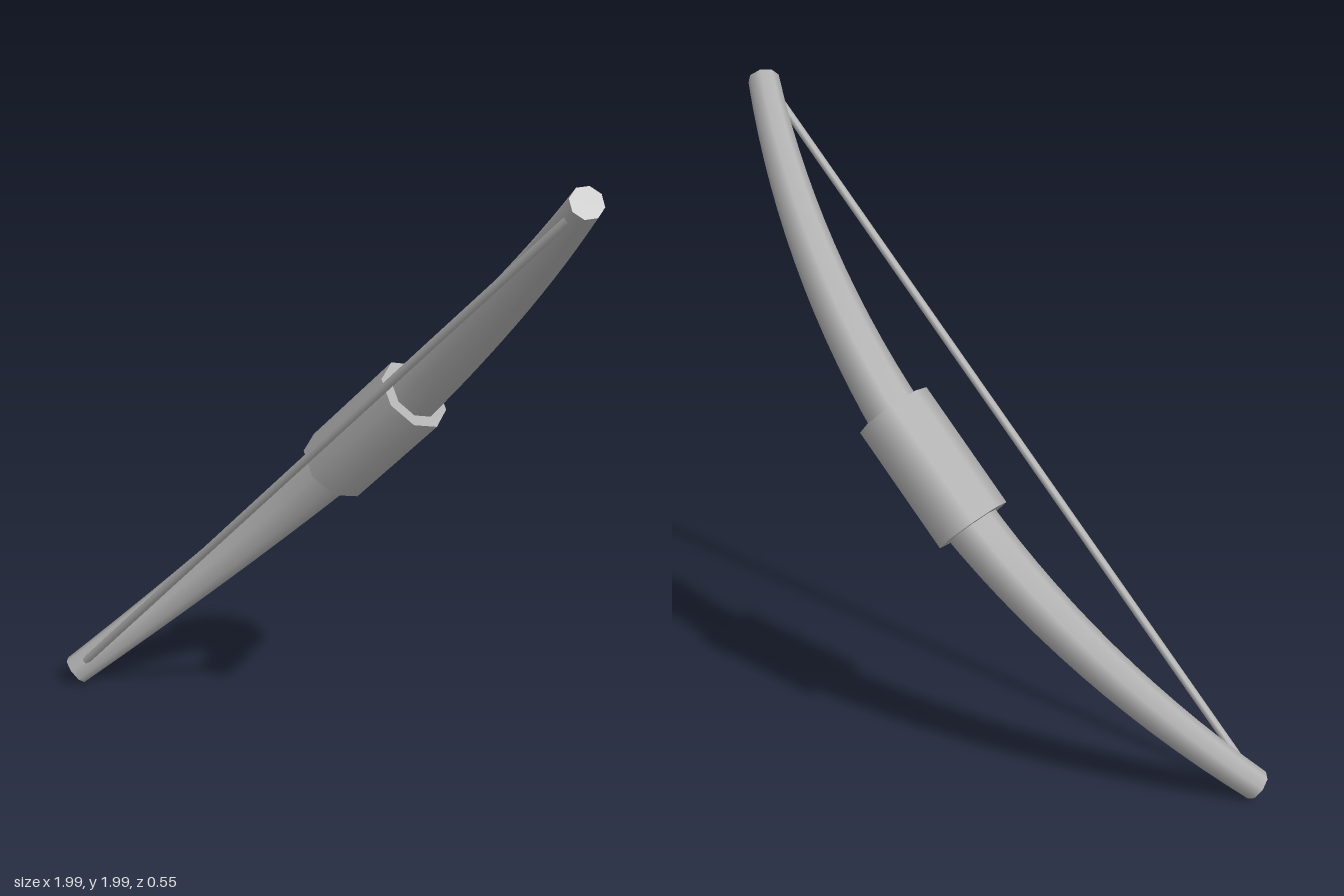
import * as THREE from 'three';

const HALF = 1.357;      // half span of the limbs
const MID_Z = -0.163;    // limb centre at the grip
const TIP_Z = 0.23;      // limb centre at the tips

// Straight cylinder tapered to the tips and bent along a parabola
function bentLimbGeometry() {
  const geo = new THREE.CylinderGeometry(1, 1, 2 * HALF, 8, 32);
  const pos = geo.attributes.position, nor = geo.attributes.normal;
  const depth = TIP_Z - MID_Z;
  for (let i = 0; i < pos.count; i++) {
    const y = pos.getY(i), t = y / HALF;
    const radius = 0.091 - 0.041 * Math.abs(t);
    const angle = Math.atan(2 * depth * t / HALF);
    const c = Math.cos(angle), s = Math.sin(angle);
    const z = pos.getZ(i) * radius;
    pos.setXYZ(i, pos.getX(i) * radius, y - z * s, MID_Z + depth * t * t + z * c);
    const ny = nor.getY(i), nz = nor.getZ(i);
    nor.setXYZ(i, nor.getX(i), ny * c - nz * s, ny * s + nz * c);
  }
  return geo;
}

export function createModel() {
  const grey = new THREE.MeshStandardMaterial({ color: 0xb0b0b0 });
  grey.name = 'grey';

  const bow = new THREE.Group();
  bow.name = 'bow';
  const add = (name, geo, z = 0) => {
    const mesh = new THREE.Mesh(geo, grey);
    mesh.name = name;
    mesh.position.z = z;
    bow.add(mesh);
  };

  add('limbs', bentLimbGeometry());
  add('grip', new THREE.CylinderGeometry(0.122, 0.122, 0.425, 8), -0.15);
  add('string', new THREE.CylinderGeometry(0.013, 0.013, 2.62, 8), 0.234);

  // The bow leans diagonally, upper tip towards +x
  bow.rotation.z = -Math.PI / 4;
  bow.position.y = 1;

  const model = new THREE.Group();
  model.name = 'model';
  model.add(bow);
  return model;
}
